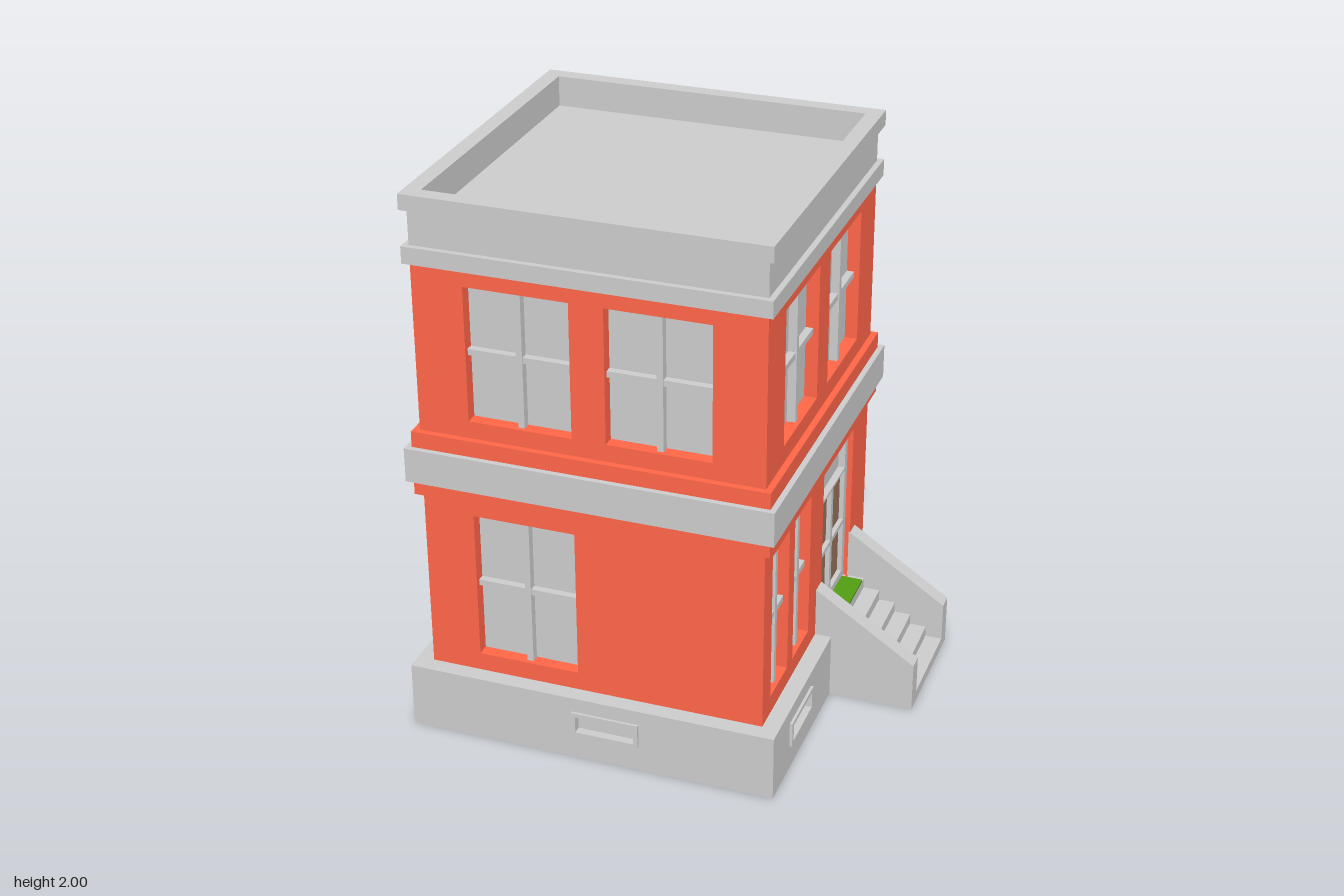
import * as THREE from 'three';

const mat = (color) => new THREE.MeshStandardMaterial({ color });

export function createModel() {
  const grey = mat(0xcccccc), red = mat(0xff6648), brown = mat(0x95705d), green = mat(0x519e12);
  const model = new THREE.Group();
  model.name = 'townhouse';

  const add = (parent, name, geometry, material, x = 0, y = 0, z = 0) => {
    const mesh = new THREE.Mesh(geometry, material);
    mesh.name = name;
    mesh.position.set(x, y, z);
    parent.add(mesh);
    return mesh;
  };
  // Box given by its minimum and maximum corners
  const box = (parent, name, material, x0, x1, y0, y1, z0, z1) =>
    add(parent, name, new THREE.BoxGeometry(x1 - x0, y1 - y0, z1 - z0), material,
      (x0 + x1) / 2, (y0 + y1) / 2, (z0 + z1) / 2);
  const square = (parent, name, material, h, y0, y1) =>
    box(parent, name, material, -h, h, y0, y1, -h, h);

  const rect = (Type, x0, x1, y0, y1) => new Type([
    new THREE.Vector2(x0, y0), new THREE.Vector2(x1, y0),
    new THREE.Vector2(x1, y1), new THREE.Vector2(x0, y1)]);
  // Flat slab with rectangular holes, its front at z = 0
  const slab = (outer, holes, depth) => {
    const shape = rect(THREE.Shape, ...outer);
    holes.forEach((h) => shape.holes.push(rect(THREE.Path, ...h)));
    return new THREE.ExtrudeGeometry(shape, { depth, bevelEnabled: false }).translate(0, 0, -depth);
  };

  const house = new THREE.Group();
  house.name = 'house';
  house.position.x = -0.15;
  model.add(house);

  const H = 0.605, B = 0.665;          // half widths of walls and base
  const RECESS = 0.045, VENT = 0.02;   // depths of openings

  // Inner volumes seen through the openings as glass and vent panels
  square(house, 'windowGlassCore', grey, H - RECESS, 0.2, 1.8);
  square(house, 'baseCore', grey, B - VENT, 0, 0.24);

  const upper = (u) => [u - 0.1825, u + 0.1825, 1.215, 1.7];
  const lower = (u, hw = 0.1825) => [u - hw, u + hw, 0.307, 0.855];
  const U = 0.242;
  const door = [U - 0.1825, U + 0.1825, 0.24, 0.855];
  const sides = [
    { name: 'front', angle: 0, vent: 0.06, bars: grey, low: [lower(-U)] },
    { name: 'stairSide', angle: Math.PI / 2, vent: -0.363, bars: grey,
      low: [lower(-0.427, 0.0925), lower(-0.183, 0.0925)], door },
    { name: 'back', angle: Math.PI, vent: -0.06, bars: red, low: [lower(U)] },
    { name: 'plainSide', angle: -Math.PI / 2, vent: 0.363, bars: red, low: [lower(-U), lower(U)] },
  ];

  sides.forEach((s, i) => {
    const side = new THREE.Group();
    side.name = s.name;
    side.rotation.y = s.angle;
    house.add(side);

    // Brick wall with openings
    const windows = [upper(-U), upper(U), ...s.low];
    const w = i % 2 ? H - RECESS : H;
    add(side, 'wall', slab([-w, w, 0.2, 1.78], s.door ? [...windows, s.door] : windows, RECESS), red, 0, 0, H);

    // Crossed glazing bars
    windows.forEach(([x0, x1, y0, y1]) => {
      const cx = (x0 + x1) / 2, cy = (y0 + y1) / 2 + 0.003, t = 0.011;
      box(side, 'verticalBar', s.bars, cx - t, cx + t, y0, y1, H - RECESS - 0.005, H - 0.015);
      box(side, 'horizontalBar', s.bars, x0, x1, cy - t, cy + t, H - RECESS - 0.005, H - 0.019);
    });

    // Base wall with framed vent
    const b = i % 2 ? B - VENT : B;
    const hole = [s.vent - 0.106, s.vent + 0.106, 0.109, 0.171];
    add(side, 'baseWall', slab([-b, b, 0, 0.24], [hole], VENT), grey, 0, 0, B);
    add(side, 'ventFrame', slab([s.vent - 0.122, s.vent + 0.122, 0.094, 0.186], [hole], 0.02), grey, 0, 0, B + 0.01);

    // Door with transom and four panes
    if (s.door) {
      const [x0, x1, y0, y1] = s.door, z = H - RECESS;
      const holes = [[x0 + 0.03, x1 - 0.03, 0.71, 0.822]];
      for (const [a, c] of [[x0 + 0.03, U - 0.012], [U + 0.012, x1 - 0.03]])
        for (const [d, e] of [[0.275, 0.476], [0.494, 0.7]]) holes.push([a, c, d, e]);
      add(side, 'doorFrame', slab([x0, x1, y0, y1], holes, 0.025), grey, 0, 0, z + 0.025);
      box(side, 'doorPanel', brown, x0 + 0.02, x1 - 0.02, 0.26, 0.705, z - 0.01, z + 0.008);
    }
  });

  // Belt course between the storeys
  square(house, 'brickBelt', red, 0.628, 0.915, 1.153);
  square(house, 'stoneBelt', grey, 0.648, 0.97, 1.095);

  // Cornice, roof and parapet
  square(house, 'lowerCornice', grey, 0.625, 1.76, 1.82);
  square(house, 'roof', grey, 0.58, 1.8, 1.89);
  const ring = (name, h, y0, y1) => {
    const mesh = add(house, name, slab([-h, h, -h, h], [[-0.568, 0.568, -0.568, 0.568]], y1 - y0), grey, 0, y1, 0);
    mesh.rotation.x = -Math.PI / 2;
  };
  ring('parapet', H, 1.82, 1.945);
  ring('parapetCap', 0.625, 1.945, 2);

  // Stairs
  const stairs = new THREE.Group();
  stairs.name = 'stairs';
  model.add(stairs);
  for (let i = 0; i < 5; i++) {
    const x = 0.515 + i * 0.061;
    box(stairs, 'step', grey, i ? x : 0.505, x + 0.061, 0, 0.2 - i * 0.04, -0.43, -0.055);
  }
  const profile = new THREE.Shape([[0.45, 0], [0.82, 0], [0.82, 0.183], [0.45, 0.428]]
    .map(([x, y]) => new THREE.Vector2(x, y)));
  for (const z of [-0.06, -0.485])
    add(stairs, 'stairWall', new THREE.ExtrudeGeometry(profile, { depth: 0.061, bevelEnabled: false }), grey, 0, 0, z);

  // Door mat
  box(model, 'doorMat', green, 0.42, 0.515, 0.238, 0.248, -0.4, -0.085);
  return model;
}
